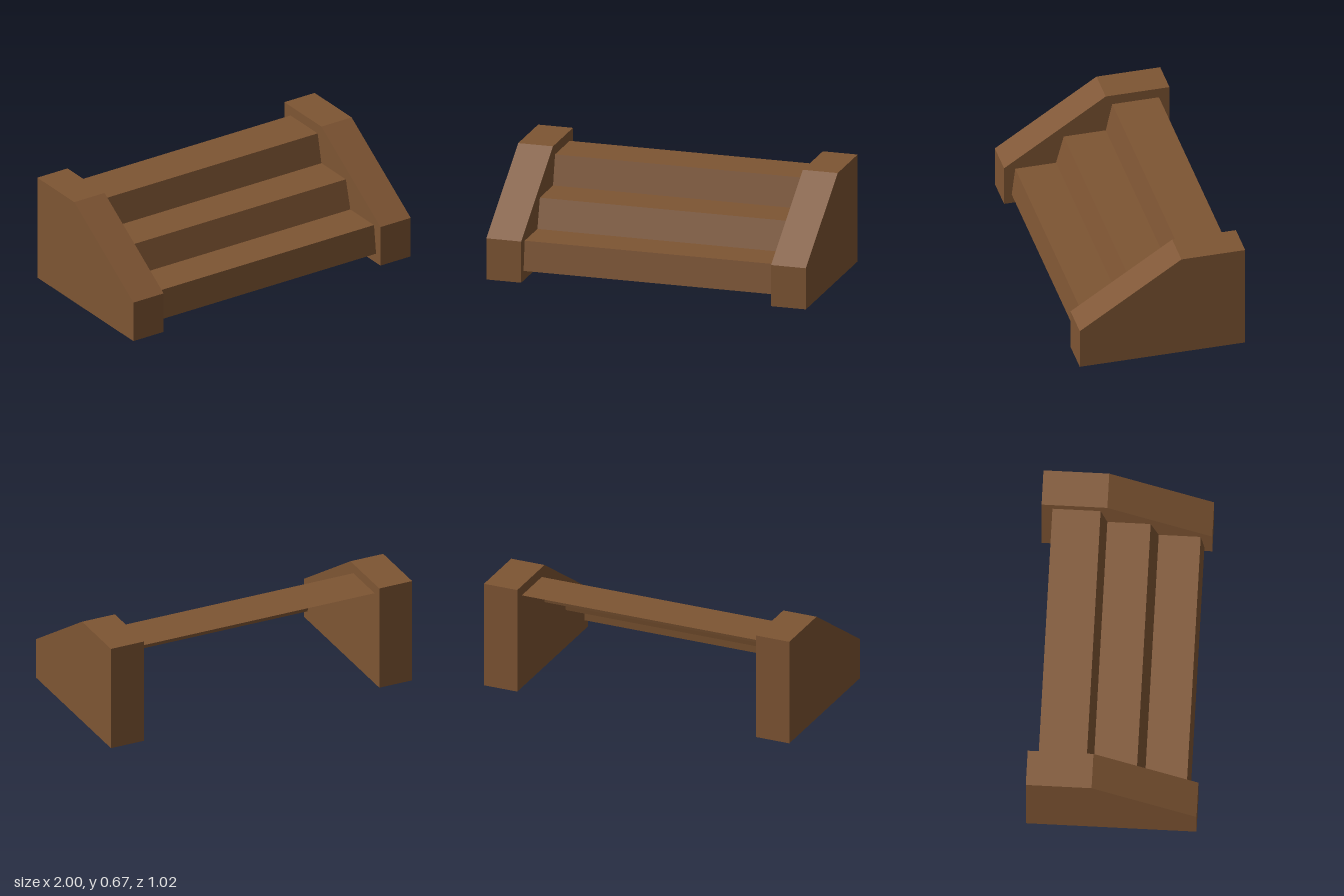
import * as THREE from 'three';

const INNER = 0.782, OUTER = 1, HIDDEN = 0.91;

function mat(name, color) {
  const m = new THREE.MeshStandardMaterial({ color, side: THREE.DoubleSide });
  m.name = name;
  return m;
}

// Open sheet swept from x0 to x1 along (z, y) points, one flat strip per segment.
function sheet(profile, x0, x1) {
  const pos = [];
  for (let i = 0; i < profile.length - 1; i++) {
    const [z0, y0] = profile[i], [z1, y1] = profile[i + 1];
    const a = [x0, y0, z0], b = [x1, y0, z0], c = [x1, y1, z1], d = [x0, y1, z1];
    pos.push(...a, ...b, ...c, ...a, ...c, ...d);
  }
  const geo = new THREE.BufferGeometry();
  geo.setAttribute('position', new THREE.Float32BufferAttribute(pos, 3));
  geo.computeVertexNormals();
  return geo;
}

// Flat side panel with a (z, y) outline, standing at x.
function panel(outline, x) {
  const shape = new THREE.Shape(outline.map(([z, y]) => new THREE.Vector2(-z, y)));
  return new THREE.ShapeGeometry(shape).rotateY(Math.PI / 2).translate(x, 0, 0);
}

export function createModel() {
  const group = new THREE.Group();
  const wood = mat('brown wood', 0x7e5533);
  const dark = mat('black', 0x080808);
  const add = (name, geo, material) => {
    const mesh = new THREE.Mesh(geo, material);
    mesh.name = name;
    group.add(mesh);
  };

  // Front, slope, top and back of a wall; the underside is open
  const wall = [[0.51, 0], [0.51, 0.257], [-0.117, 0.667], [-0.51, 0.667], [-0.51, 0]];

  // Three thin steps with leaning risers
  const steps = [
    [0.463, 0.06], [0.441, 0.242],
    [0.19, 0.242], [0.142, 0.423],
    [-0.117, 0.423], [-0.157, 0.605],
    [-0.445, 0.605],
  ];
  add('steps', sheet(steps, -INNER, INNER), wood);

  for (const [side, s] of [['left', 1], ['right', -1]]) {
    const span = (a, b) => [Math.min(s * a, s * b), Math.max(s * a, s * b)];
    // Hollow side wall
    add(side + 'WallShell', sheet(wall, ...span(INNER, OUTER)), wood);
    add(side + 'WallInnerPanel', panel(wall, s * INNER), wood);
    add(side + 'WallOuterPanel', panel(wall, s * OUTER), wood);
    // Dark step ends running on inside the wall
    add(side + 'StepEnds', sheet(steps, ...span(INNER, HIDDEN)), dark);
  }

  return group;
}
